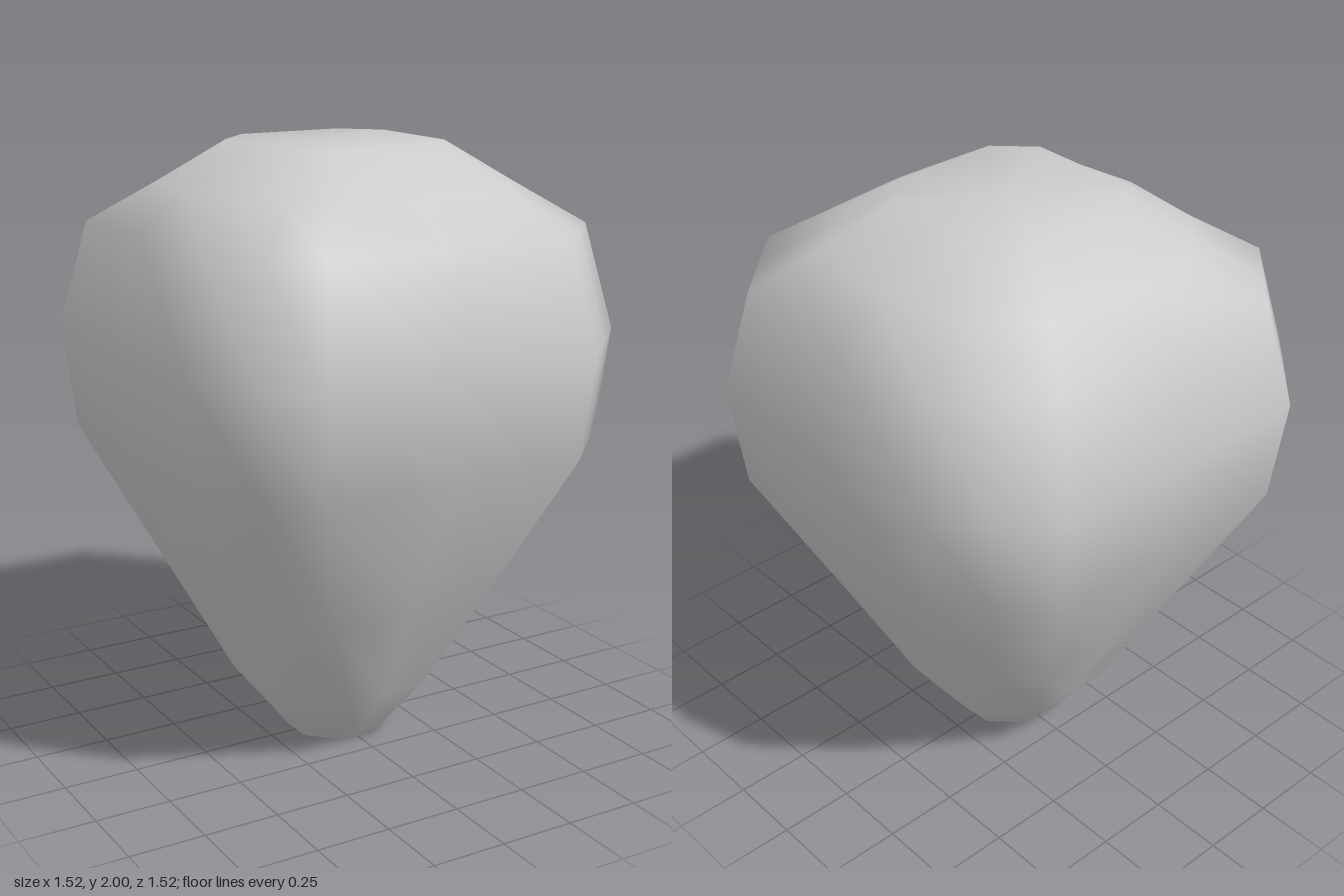
import * as THREE from 'three';

// Rings from bottom to top: height, half width, half length of the flat side,
// and the half width at the middle of each side.
const RINGS = [
  [0, 0.155, 0.055, 0.155],
  [0.22, 0.32, 0.14, 0.32],
  [0.55, 0.475, 0.275, 0.475],
  [1.06, 0.725, 0.45, 0.725],
  [1.4, 0.76, 0.475, 0.76],
  [1.74, 0.68, 0.42, 0.68],
  [1.87, 0.487, 0.29, 0.525],
  [2, 0.295, 0.18, 0.295],
];

// Chamfered square: middle, corner, chamfer middle and corner for each side.
function ringPoints([y, w, s, mid]) {
  const d = (w + s) / 2;
  const quarter = [[mid, 0], [w, s], [d, d], [s, w]];
  const points = [];
  let c = 1, n = 0;
  for (let q = 0; q < 4; q++) {
    for (const [x, z] of quarter) points.push([x * c - z * n, y, x * n + z * c]);
    [c, n] = [-n, c];
  }
  return points;
}

function createBodyGeometry() {
  const N = 16, last = RINGS.length - 1;
  const positions = RINGS.flatMap(ringPoints);
  const bottom = positions.push([0, 0, 0]) - 1;
  const top = positions.push([0, 2, 0]) - 1;
  const index = [];
  for (let i = 0; i < N; i++) {
    const j = (i + 1) % N;
    for (let r = 0; r < last; r++) {
      const a = r * N + i, b = r * N + j;
      index.push(a, a + N, b + N, a, b + N, b);
    }
    // Bottom and top caps
    index.push(bottom, i, j, top, last * N + j, last * N + i);
  }
  const geometry = new THREE.BufferGeometry();
  geometry.setAttribute('position', new THREE.Float32BufferAttribute(positions.flat(), 3));
  geometry.setIndex(index);
  geometry.computeVertexNormals();
  return geometry;
}

export function createModel() {
  const group = new THREE.Group();
  group.name = 'taperedBulb';
  const body = new THREE.Mesh(
    createBodyGeometry(),
    new THREE.MeshStandardMaterial({ color: 0xcccccc })
  );
  body.name = 'body';
  group.add(body);
  return group;
}
